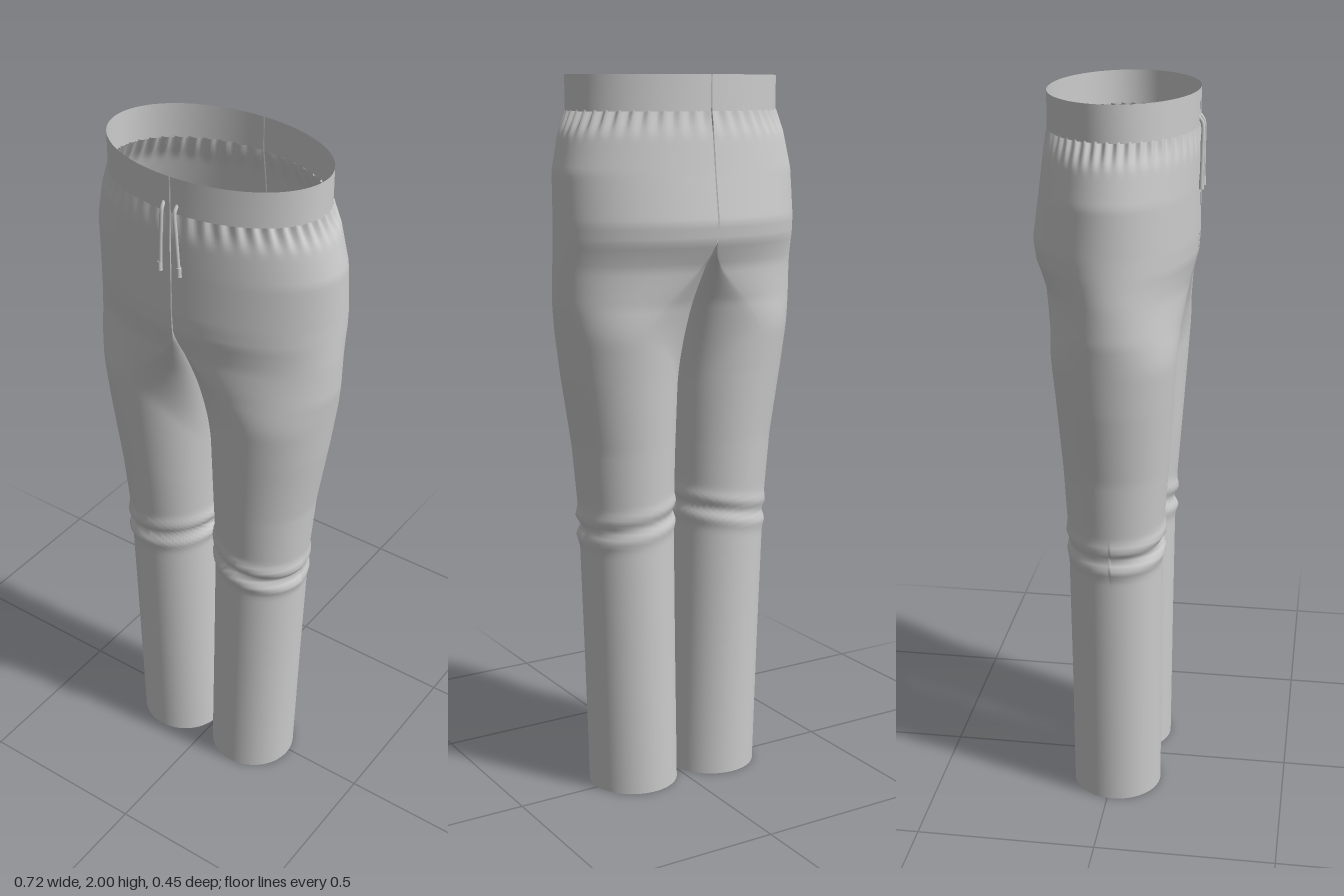
import * as THREE from 'three';
import { mergeGeometries, mergeVertices } from 'three/addons/utils/BufferGeometryUtils.js';

// height, outer x, front z, back z, inner leg x
const PROFILE = [
  [2.0, 0.31, 0.21, -0.185, 0.004],
  [1.91, 0.312, 0.211, -0.186, 0.004],
  [1.85, 0.335, 0.213, -0.195, 0.004],
  [1.75, 0.357, 0.214, -0.207, 0.004],
  [1.62, 0.359, 0.215, -0.225, 0.004],
  [1.57, 0.36, 0.212, -0.218, 0.004],
  [1.5, 0.361, 0.195, -0.187, 0.004],
  [1.4, 0.359, 0.182, -0.164, 0.004],
  [1.2, 0.334, 0.17, -0.146, 0.008],
  [1.0, 0.303, 0.157, -0.131, 0.014],
  [0.8, 0.286, 0.143, -0.12, 0.018],
  [0.4, 0.272, 0.141, -0.115, 0.012],
  [0, 0.26, 0.14, -0.112, 0.005],
];
const FORK = 1.57, CROTCH = 1.38, BAND = 1.91, GAP = 0.002;
const OUTER = 132, INNER = 44;

const smooth = (t) => THREE.MathUtils.smoothstep(t, 0, 1);
const bell = (d, w) => Math.exp(-((d / w) ** 2));

function sectionAt(y) {
  let i = 0;
  while (i < PROFILE.length - 2 && y < PROFILE[i + 1][0]) i++;
  const a = PROFILE[i], b = PROFILE[i + 1];
  const t = (a[0] - y) / (a[0] - b[0]);
  return a.map((v, k) => THREE.MathUtils.lerp(v, b[k], t));
}

// Angle runs front centre -> outer side -> back centre -> inner side
function columnAngle(j) {
  return j <= OUTER
    ? Math.PI * (0.5 - j / OUTER)
    : -Math.PI * (0.5 + (j - OUTER) / INNER);
}

// Top of each leg column: level outside, a saddle curve between the legs
function columnTop(j) {
  if (j <= OUTER) return FORK;
  return CROTCH + (FORK - CROTCH) * Math.sin(columnAngle(j)) ** 2;
}

function clothPoint(j, y) {
  const [, xo, zf, zb, xi] = sectionAt(y);
  const angle = columnAngle(j), c = Math.cos(angle), s = Math.sin(angle);
  const w = smooth((columnTop(j) - y) / 0.27);
  const zm = (zf + zb) / 2;
  const legX = (xo + xi) / 2;
  let x, z = zm + ((zf - zb) / 2) * s;
  if (j <= OUTER) {
    const cx = THREE.MathUtils.lerp(GAP, legX, w);
    x = cx + (xo - cx) * c;
  } else {
    x = THREE.MathUtils.lerp(GAP, legX + (legX - xi) * c, w);
  }
  // Gathers under the waistband
  const gather = smooth((y - 1.83) / 0.08);
  const pinch = 1 - 0.045 * gather * (0.5 - 0.5 * Math.cos((j / OUTER) * 22 * Math.PI * 2));
  x = GAP + (x - GAP) * pinch;
  z = zm + (z - zm) * pinch;
  // Slanting knee folds
  const d = y - (0.79 - 0.16 * (x - 0.15));
  const fold = (s > 0 ? 1 : 0.6) *
    (0.009 * bell(d - 0.03, 0.016) - 0.008 * bell(d, 0.014) + 0.009 * bell(d + 0.028, 0.018));
  x += c * fold;
  z += s * fold;
  return [x, y, z];
}

// Sheet of quads from a point function, mirrored by side
function sheet(cols, rows, side, point) {
  const pos = [], index = [];
  for (let i = 0; i <= rows; i++) {
    for (let j = 0; j <= cols; j++) {
      const [x, y, z] = point(j, i / rows);
      pos.push(x * side, y, z);
    }
  }
  const n = cols + 1;
  for (let i = 0; i < rows; i++) {
    for (let j = 0; j < cols; j++) {
      const a = i * n + j, b = a + 1, c = a + n, d = c + 1;
      if (side > 0) index.push(a, c, b, b, c, d);
      else index.push(a, b, c, b, d, c);
    }
  }
  const g = new THREE.BufferGeometry();
  g.setAttribute('position', new THREE.Float32BufferAttribute(pos, 3));
  g.setIndex(index);
  return g;
}

export function createModel() {
  const cloth = new THREE.MeshStandardMaterial({ color: 0xcccccc, side: THREE.DoubleSide });
  cloth.name = 'grey cloth';
  const model = new THREE.Group();
  model.name = 'trousers';
  const add = (geometry, name) => {
    const mesh = new THREE.Mesh(geometry, cloth);
    mesh.name = name;
    model.add(mesh);
    return mesh;
  };

  for (const side of [1, -1]) {
    const label = side > 0 ? 'left' : 'right';

    // Hip panel and leg welded into one smooth half
    const hip = sheet(OUTER, 28, side, (j, t) => clothPoint(j, BAND - (BAND - FORK) * t));
    const leg = sheet(OUTER + INNER, 110, side, (j, t) => clothPoint(j, columnTop(j) * (1 - t)));
    const half = mergeVertices(mergeGeometries([hip, leg]), 1e-5);
    half.computeVertexNormals();
    add(half, label + 'TrouserHalf');

    // Smooth elastic waistband
    const band = sheet(48, 2, side, (j, t) => {
      const a = Math.PI * (0.5 - j / 48);
      return [GAP + 0.308 * Math.cos(a), 2 - (2 - BAND + 0.004) * t, 0.0125 + 0.1985 * Math.sin(a)];
    });
    band.computeVertexNormals();
    add(band, label + 'Waistband');

    // Hanging drawstring with a thicker tip
    const path = new THREE.CatmullRomCurve3([
      new THREE.Vector3(side * 0.02, 1.93, 0.207),
      new THREE.Vector3(side * 0.019, 1.915, 0.218),
      new THREE.Vector3(side * 0.023, 1.85, 0.22),
      new THREE.Vector3(side * 0.028, 1.76, 0.219),
    ]);
    add(new THREE.TubeGeometry(path, 24, 0.005, 8), label + 'Drawstring');
    const tip = add(new THREE.CylinderGeometry(0.006, 0.007, 0.025, 10), label + 'DrawstringTip');
    tip.position.set(side * 0.029, 1.755, 0.219);
  }
  return model;
}
